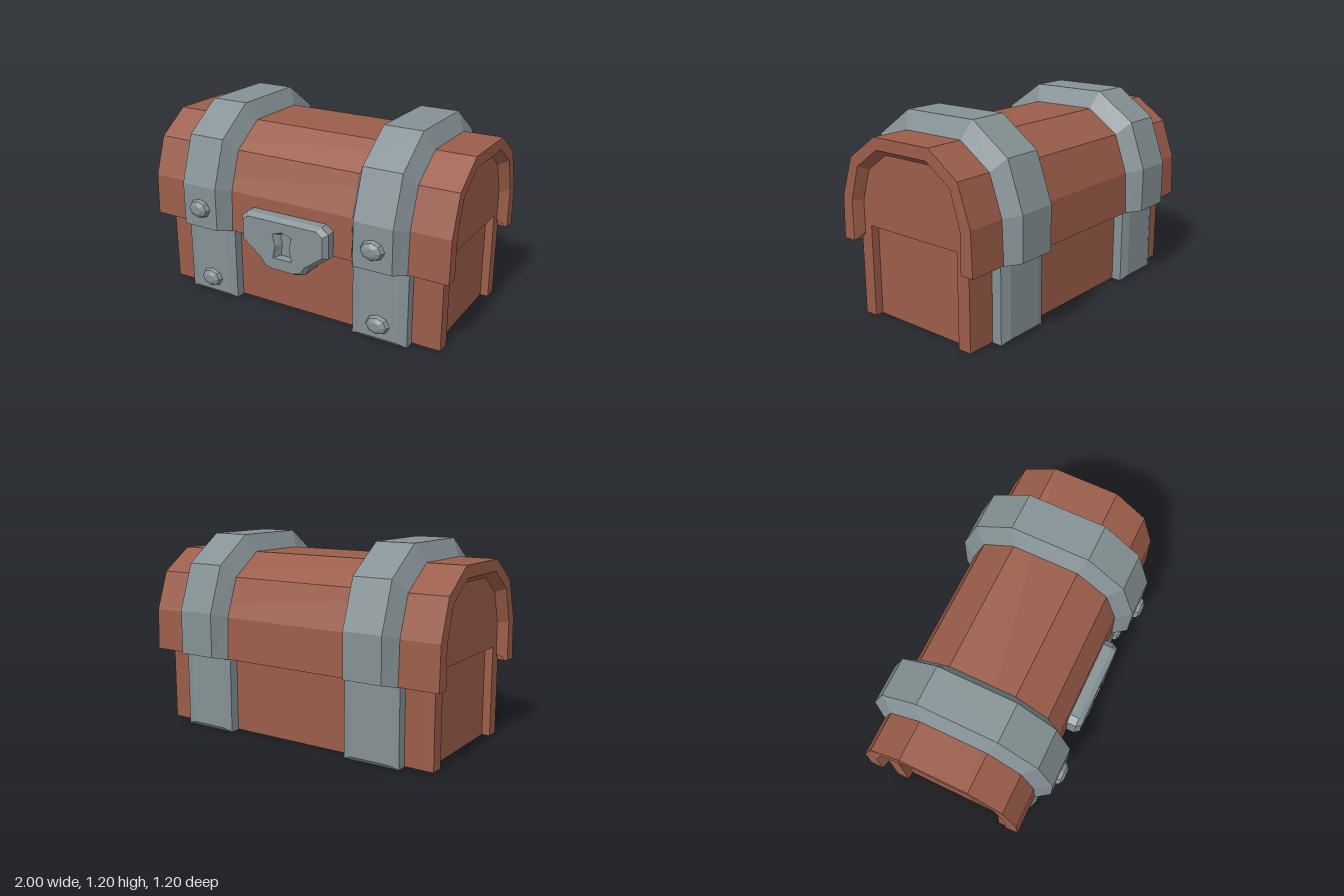
import * as THREE from 'three';

const wood = new THREE.MeshStandardMaterial({ color: 0x9b5d4a });
wood.name = 'reddish wood';
const iron = new THREE.MeshStandardMaterial({ color: 0x859195 });
iron.name = 'grey iron';

const MID = -0.017; // z of the chest's middle plane

// Mirror a front half-profile of [z offset, y] into a full arch, front to back.
const arch = (half) => [
  ...half.map(([z, y]) => [MID + z, y]),
  ...[...half].reverse().map(([z, y]) => [MID - z, y]),
];
const atX = (profile, x) => profile.map(([z, y]) => [x, y, z]);
const atZ = (loop, z) => loop.map(([x, y]) => [x, y, z]);

// Flat-faced skin through matching rings of points.
function loft(rings, { closed = true, capStart = false, capEnd = false } = {}) {
  const pos = [];
  const tri = (...pts) => pts.forEach((p) => pos.push(...p));
  const n = rings[0].length;
  for (let i = 0; i < rings.length - 1; i++) {
    for (let j = 0; j < (closed ? n : n - 1); j++) {
      const k = (j + 1) % n;
      const [a, b, c, d] = [rings[i][j], rings[i][k], rings[i + 1][k], rings[i + 1][j]];
      tri(a, d, c);
      tri(a, c, b);
    }
  }
  const first = rings[0], last = rings[rings.length - 1];
  for (let k = 1; k < n - 1; k++) {
    if (capStart) tri(first[0], first[k], first[k + 1]);
    if (capEnd) tri(last[0], last[k + 1], last[k]);
  }
  const g = new THREE.BufferGeometry();
  g.setAttribute('position', new THREE.Float32BufferAttribute(pos, 3));
  g.computeVertexNormals();
  return g;
}

const toShape = (pts) => new THREE.Shape(pts.map(([x, y]) => new THREE.Vector2(x, y)));

// Extrude a [z, y] outline along x from x0 to x1.
function extrudeX(outline, x0, x1) {
  const g = new THREE.ExtrudeGeometry(toShape(outline.map(([z, y]) => [-z, y])), {
    depth: x1 - x0, bevelEnabled: false,
  });
  return g.rotateY(Math.PI / 2).translate(x0, 0, 0);
}

function add(parent, name, geometry, material) {
  const mesh = new THREE.Mesh(geometry, material);
  mesh.name = name;
  parent.add(mesh);
  return mesh;
}

// Arch profiles, from the lower front edge up to the crown
const lidOuter = arch([[0.496, 0.465], [0.487, 0.72], [0.405, 0.955], [0.205, 1.095]]);
const lidInner = arch([[0.415, 0.465], [0.415, 0.705], [0.352, 0.91], [0.188, 1.025]]);
const lidPanel = arch([[0.387, 0.505], [0.387, 0.695], [0.327, 0.885], [0.182, 0.987]]);
const strapFoot = [0.494, 0.462];
const strapInner = arch([strapFoot, strapFoot, [0.487, 0.72], [0.405, 0.955], [0.205, 1.095]]);
const strapOuter = arch([strapFoot, [0.58, 0.482], [0.58, 0.748], [0.481, 1.03], [0.242, 1.2]]);

function buildBody(chest) {
  const body = new THREE.Group();
  body.name = 'body';
  chest.add(body);
  const core = add(body, 'bodyCore', new THREE.BoxGeometry(1.78, 0.5, 0.83), wood);
  core.position.set(0, 0.254, MID);
  // End frames: two corner posts under an arched panel
  const frame = [
    [MID + 0.332, 0.004], [MID + 0.415, 0.004], [MID + 0.415, 0.47],
    ...lidPanel,
    [MID - 0.415, 0.47], [MID - 0.415, 0.004], [MID - 0.332, 0.004],
    [MID - 0.332, 0.555], [MID + 0.332, 0.555],
  ];
  add(body, 'leftEndFrame', extrudeX(frame, 0.88, 0.94), wood);
  add(body, 'rightEndFrame', extrudeX(frame, -0.94, -0.88), wood);
  // Recessed end panels reach up behind the frames
  const recess = add(body, 'recessedEndPanels', new THREE.BoxGeometry(1.78, 0.2, 0.7), wood);
  recess.position.set(0, 0.5, MID);
}

function buildLid(chest) {
  const lid = new THREE.Group();
  lid.name = 'lid';
  chest.add(lid);
  add(lid, 'lidShell', extrudeX([...lidOuter, ...[...lidInner].reverse()], -1, 1), wood);
  // Sloping inner edges of the rims
  add(lid, 'leftRimBevel', loft([atX(lidInner, 1), atX(lidPanel, 0.94)], { closed: false }), wood);
  add(lid, 'rightRimBevel', loft([atX(lidPanel, -0.94), atX(lidInner, -1)], { closed: false }), wood);
}

// Domed octagonal rivet on the front face
function buildRivet(parent, x, y, z) {
  const rings = [[1, -0.01], [1, 0.003], [0.85, 0.024], [0.45, 0.038]].map(([s, dz]) =>
    Array.from({ length: 8 }, (_, i) => {
      const a = (-i * Math.PI) / 4;
      return [x + 0.075 * s * Math.cos(a), y + 0.06 * s * Math.sin(a), z + dz];
    }));
  add(parent, 'rivet', loft(rings, { capEnd: true }), iron);
}

function buildStrap(chest, name, centre) {
  const strap = new THREE.Group();
  strap.name = name;
  chest.add(strap);
  const x = [-0.175, -0.12, 0.12, 0.175].map((d) => centre + d);
  // Arched band over the lid
  add(strap, 'lidStrap', loft([
    atX(strapInner, x[0]), atX(strapOuter, x[1]), atX(strapOuter, x[2]), atX(strapInner, x[3]),
  ]), iron);
  // Band around the body, bevelled at its edges
  const side = arch([[0.476, 0], [0.476, 0.002], [0.476, 0.463]]);
  const face = arch([[0.476, 0], [0.497, 0.024], [0.497, 0.463]]);
  add(strap, 'bodyStrap', loft(
    [atX(side, x[0]), atX(face, x[1]), atX(face, x[2]), atX(side, x[3])],
    { capStart: true, capEnd: true }), iron);
  buildRivet(strap, centre, 0.605, 0.562);
  buildRivet(strap, centre, 0.112, 0.479);
}

function buildLock(chest) {
  const lock = new THREE.Group();
  lock.name = 'lock';
  chest.add(lock);
  // Clockwise outline, mirrored from its right half
  const mirror = (half) => [...half, ...[...half].reverse().map(([x, y]) => [-x, y])];
  const edge = mirror([[0.25, 0.65], [0.295, 0.615], [0.295, 0.465], [0.17, 0.375], [0.14, 0.33], [0.075, 0.312]]);
  const front = mirror([[0.235, 0.63], [0.272, 0.602], [0.272, 0.478], [0.15, 0.387], [0.122, 0.345], [0.068, 0.33]]);
  add(lock, 'lockPlate', loft([atZ(edge, 0.39), atZ(edge, 0.53), atZ(front, 0.56)], { capStart: true }), iron);
  const hole = mirror([[0.008, 0.572], [0.065, 0.552], [0.048, 0.48], [0.065, 0.402]]);
  const floor = mirror([[0.005, 0.55], [0.036, 0.54], [0.026, 0.48], [0.036, 0.408]]);
  const faceShape = toShape(front);
  faceShape.holes.push(toShape(hole));
  add(lock, 'lockFace', new THREE.ShapeGeometry(faceShape).translate(0, 0, 0.56), iron);
  // Keyhole recess
  add(lock, 'keyholeWalls', loft([atZ(hole, 0.56), atZ(floor, 0.515)]), iron);
  add(lock, 'keyholeFloor', new THREE.ShapeGeometry(toShape(floor)).translate(0, 0, 0.515), iron);
}

export function createModel() {
  const chest = new THREE.Group();
  chest.name = 'chest';
  buildBody(chest);
  buildLid(chest);
  buildStrap(chest, 'leftStrap', 0.588);
  buildStrap(chest, 'rightStrap', -0.588);
  buildLock(chest);
  return chest;
}
